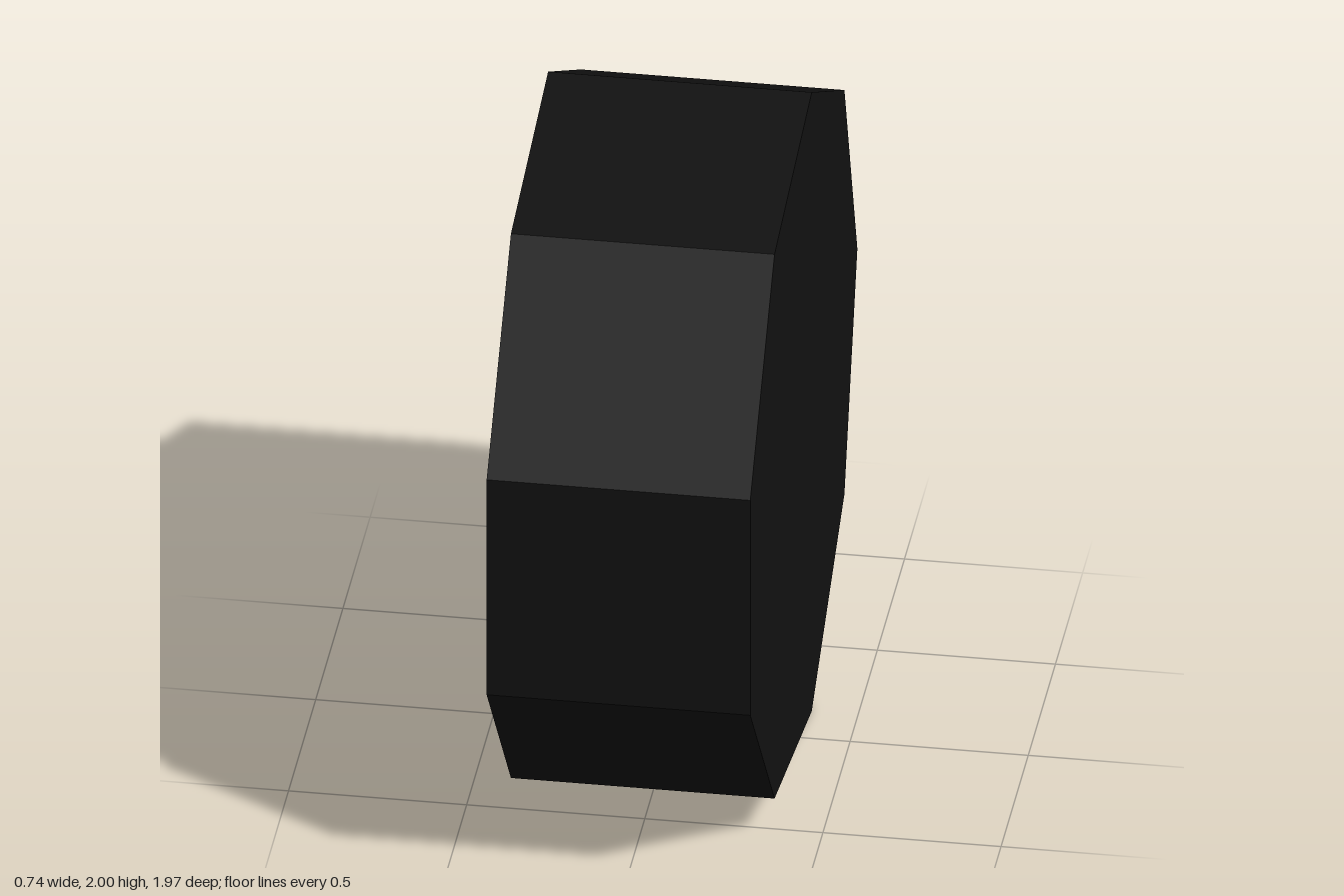
import * as THREE from 'three';

const SIDES = 9;

// Nine-sided part turned about the x axis; profile is a list of [radius, x]
function turned(name, color, profile) {
  const points = profile.map(([r, x]) => new THREE.Vector2(r, x));
  const geometry = new THREE.LatheGeometry(points, SIDES, Math.PI);
  geometry.rotateZ(-Math.PI / 2);
  const material = new THREE.MeshStandardMaterial({ color, flatShading: true });
  const mesh = new THREE.Mesh(geometry, material);
  mesh.name = name;
  return mesh;
}

export function createModel() {
  const wheel = new THREE.Group();
  wheel.name = 'wheel';

  // Tyre: sloped inner lip, tread and closed inner side
  wheel.add(turned('tyre', 0x111111, [[0.82, -0.26], [1.015, -0.37], [1.015, 0.37], [0, 0.37]]));

  // Slightly dished rim
  wheel.add(turned('rim', 0x808080, [[0.4, -0.225], [0.82, -0.26]]));

  // Sunken hub with its short wall
  wheel.add(turned('hub', 0x333333, [[0.045, -0.195], [0.4, -0.195], [0.4, -0.225]]));

  // Small axle hole
  wheel.add(turned('axleHole', 0x333333, [[0, -0.1], [0.045, -0.1], [0.045, -0.195]]));

  wheel.position.set(0, 1, 0.03);
  const model = new THREE.Group();
  model.add(wheel);
  return model;
}
